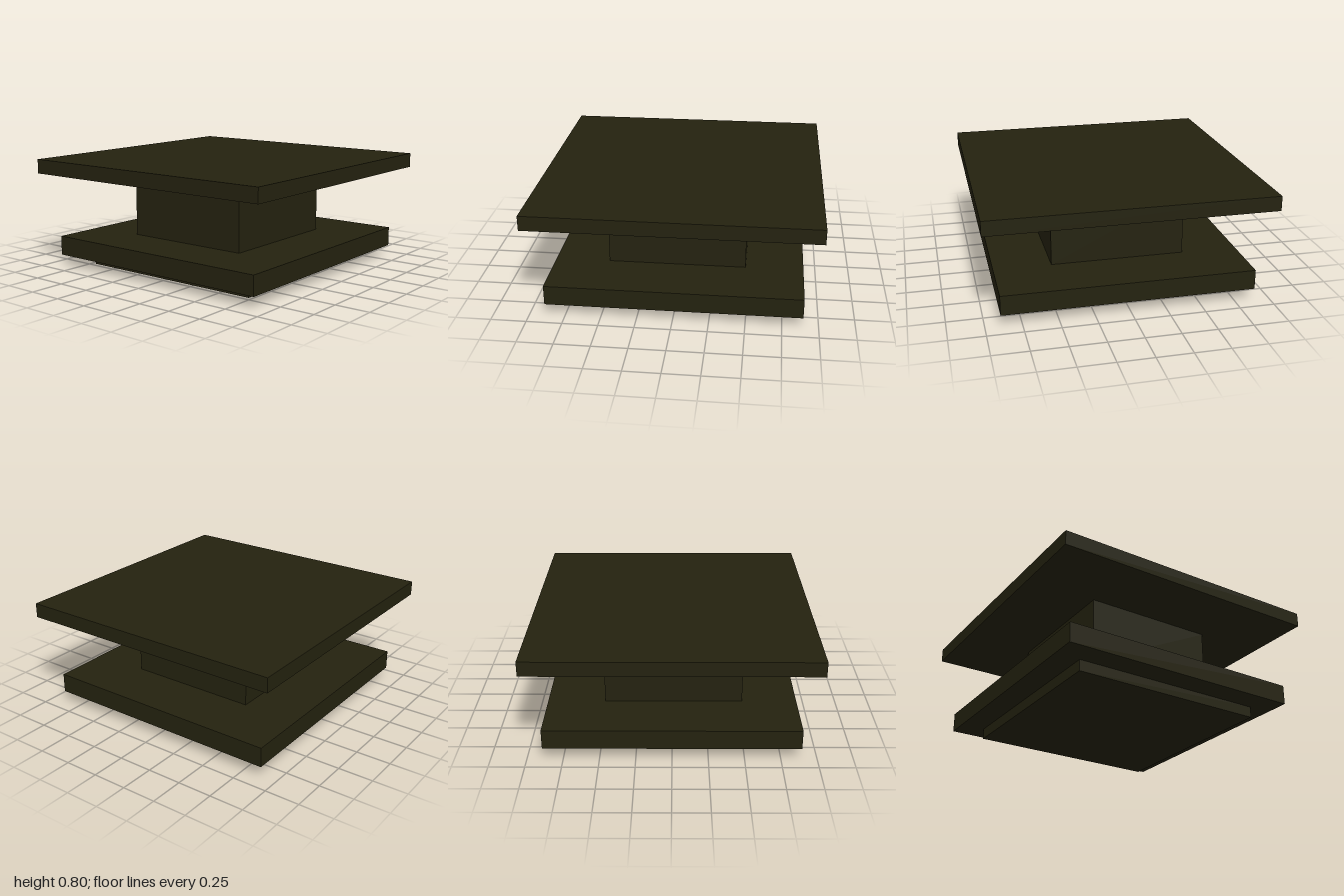
import * as THREE from 'three';

export function createModel() {
  const model = new THREE.Group();
  model.name = 'squarePedestal';

  const darkOlive = new THREE.MeshStandardMaterial({ color: 0x24220f });
  darkOlive.name = 'darkOlive';

  // Adds a square block from its [min, max] extent on each axis
  function block(name, [x0, x1], [y0, y1], [z0, z1]) {
    const mesh = new THREE.Mesh(new THREE.BoxGeometry(x1 - x0, y1 - y0, z1 - z0), darkOlive);
    mesh.name = name;
    mesh.position.set((x0 + x1) / 2, (y0 + y1) / 2, (z0 + z1) / 2);
    model.add(mesh);
  }

  // Stacked from the ground up; foot and column sit slightly off centre
  block('foot', [-0.715, 0.723], [0, 0.08], [-0.723, 0.715]);
  block('basePlate', [-0.893, 0.893], [0.08, 0.222], [-0.893, 0.893]);
  block('column', [-0.485, 0.48], [0.222, 0.698], [-0.482, 0.502]);
  block('topSlab', [-1, 1], [0.698, 0.803], [-0.998, 0.998]);

  return model;
}
